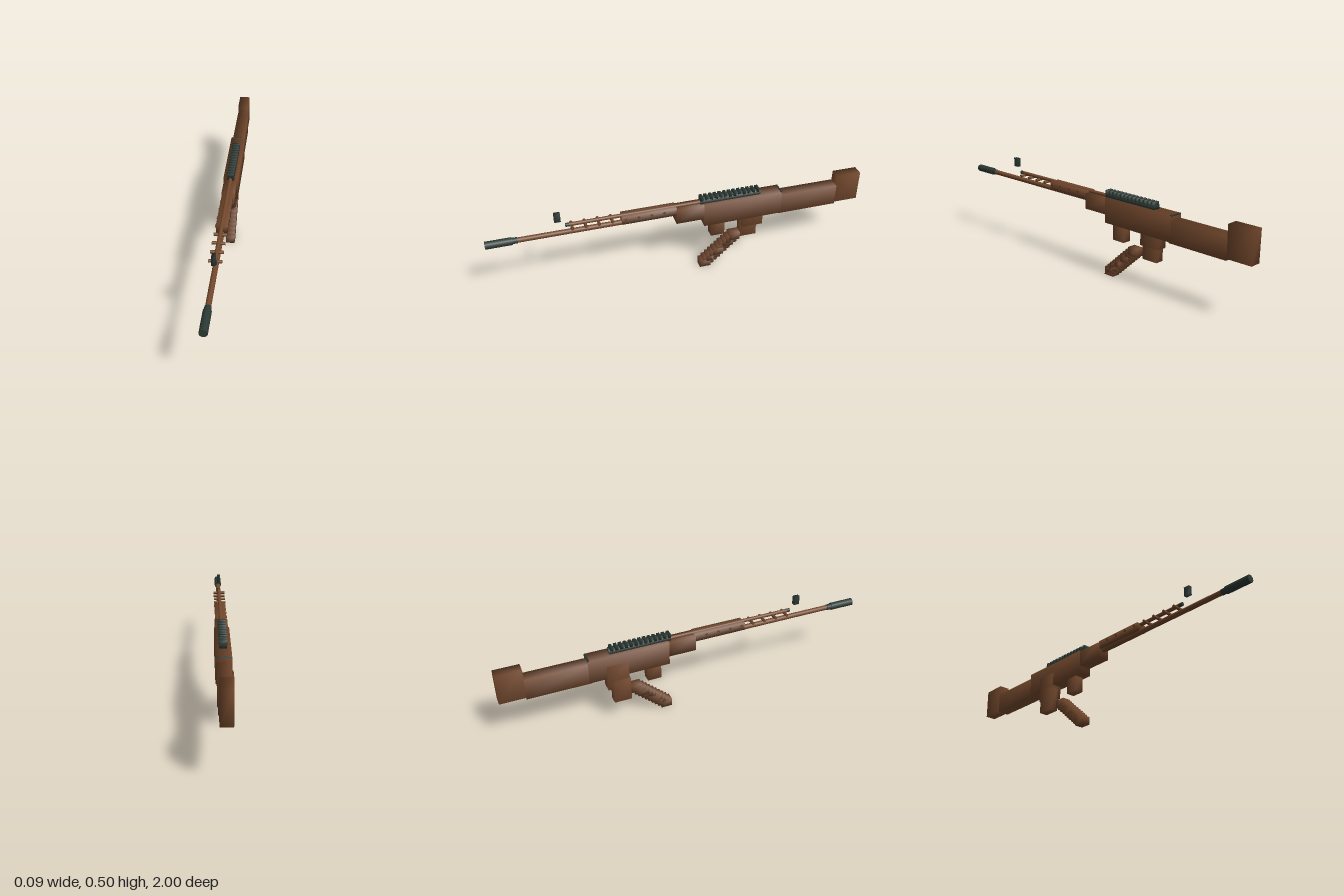
import * as THREE from 'three';
import { mergeVertices } from 'three/addons/utils/BufferGeometryUtils.js';

const AXIS_X = 0.0065;   // centre line of the body
const brown = new THREE.MeshStandardMaterial({ color: 0x74492d });
brown.name = 'warm brown';
const dark = new THREE.MeshStandardMaterial({ color: 0x2c3a34 });
dark.name = 'dark green grey';

export function createModel() {
  const model = new THREE.Group();
  model.name = 'rifle';

  function add(name, geometry, material, x, y, z, parent = model) {
    const mesh = new THREE.Mesh(geometry, material);
    mesh.name = name;
    mesh.position.set(x, y, z);
    parent.add(mesh);
    return mesh;
  }

  // Box from its limits, with normals blended across the shared corners
  function block(name, [x0, x1], [y0, y1], [z0, z1], material = brown, parent = model) {
    let g = new THREE.BoxGeometry(x1 - x0, y1 - y0, z1 - z0);
    g.deleteAttribute('normal');
    g.deleteAttribute('uv');
    g = mergeVertices(g);
    g.computeVertexNormals();
    return add(name, g, material, (x0 + x1) / 2, (y0 + y1) / 2, (z0 + z1) / 2, parent);
  }

  // Cylinder along z
  function tube(name, r, y, z0, z1, material = brown) {
    const g = new THREE.CylinderGeometry(r, r, z1 - z0, 16).rotateX(Math.PI / 2);
    return add(name, g, material, AXIS_X, y, (z0 + z1) / 2);
  }

  function group(name) {
    const g = new THREE.Group();
    g.name = name;
    model.add(g);
    return g;
  }

  // Stock and body
  block('buttPad', [-0.023, 0.036], [0.292, 0.457], [-1, -0.866]);
  block('stock', [-0.026, 0.039], [0.284, 0.4], [-0.867, -0.535]);
  block('receiver', [-0.032, 0.045], [0.291, 0.422], [-0.547, -0.117]);
  block('receiverRearTrim', [-0.03, 0.043], [0.418, 0.424], [-0.548, -0.54], dark);
  block('frontBlock', [-0.027, 0.04], [0.333, 0.418], [-0.118, 0.033]);

  // Barrel and muzzle
  tube('barrel', 0.0135, 0.381, 0, 0.87);
  tube('muzzleCollar', 0.016, 0.381, 0.84, 0.868, dark);
  tube('muzzle', 0.02, 0.381, 0.866, 1, dark);

  // Handguard, upper rod and its cross pins
  block('handguard', [-0.022, 0.035], [0.384, 0.427], [0.03, 0.316]);
  tube('upperRod', 0.01, 0.423, -0.11, 0.58);
  tube('upperRodTip', 0.01, 0.423, 0.58, 0.6, dark);
  const pins = group('crossPins');
  for (let i = 0; i < 8; i++) {
    const g = new THREE.CylinderGeometry(0.008, 0.008, 0.064, 8).rotateZ(Math.PI / 2);
    add('crossPin', g, brown, AXIS_X - 0.001, 0.412, 0.568 - i * 0.0675, pins);
  }

  // Front sight
  block('frontSight', [-0.003, 0.016], [0.453, 0.502], [0.62, 0.652], dark);

  // Top rail with ridges
  const rail = group('topRail');
  block('railBase', [-0.011, 0.026], [0.42, 0.444], [-0.43, -0.1], dark, rail);
  block('railBody', [-0.009, 0.022], [0.436, 0.451], [-0.36, -0.1], dark, rail);
  for (let i = 0; i < 13; i++) {
    const z = -0.108 - i * 0.0257;
    block('railRidge', [-0.013, 0.026], [0.438, 0.458], [z - 0.008, z + 0.008], dark, rail);
  }

  // Lower blocks
  block('frontLug', [-0.018, 0.031], [0.206, 0.3], [-0.235, -0.16]);
  block('rearUpperBlock', [-0.035, 0.022], [0.22, 0.365], [-0.455, -0.34]);
  block('rearLowerBlock', [-0.047, 0], [0.141, 0.272], [-0.43, -0.337]);

  // Stepped slanting grip
  const grip = group('steppedGrip');
  for (let i = 0; i < 10; i++) {
    const top = 0.193 - i * 0.01667, z = -0.296 + i * 0.0182;
    block('gripStep', [-0.017, 0.031], [top - 0.043, top], [z - 0.03, z + 0.03], brown, grip);
  }

  return model;
}
